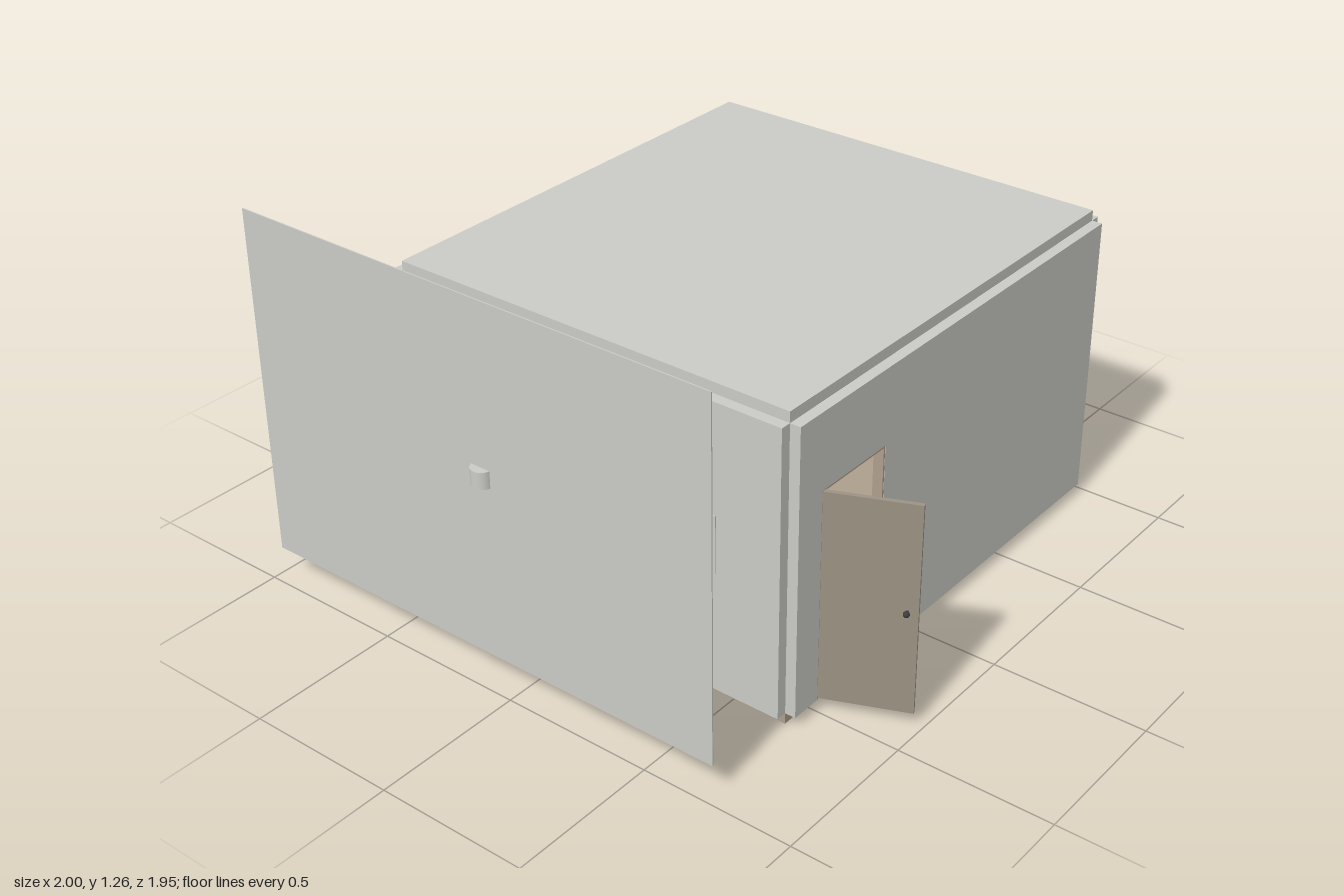
import * as THREE from 'three';

const mat = (name, color) => {
  const m = new THREE.MeshStandardMaterial({ color });
  m.name = name;
  return m;
};

export function createModel() {
  const model = new THREE.Group();
  model.name = 'roomWithSidePanel';
  const plaster = mat('plaster grey', 0xcbccc7);
  const tan = mat('floor tan', 0xae9f8c);
  const wood = mat('door wood', 0x9d9284);
  const white = mat('inner white', 0xfafafa);
  const dark = mat('dark metal', 0x3c3d3e);

  const add = (name, geo, material, parent = model) => {
    const mesh = new THREE.Mesh(geo, material);
    mesh.name = name;
    parent.add(mesh);
    return mesh;
  };
  // Box given by its minimum and maximum on each axis
  const box = (name, [x0, x1], [y0, y1], [z0, z1], material, parent) => {
    const mesh = add(name, new THREE.BoxGeometry(x1 - x0, y1 - y0, z1 - z0), material, parent);
    mesh.position.set((x0 + x1) / 2, (y0 + y1) / 2, (z0 + z1) / 2);
    return mesh;
  };

  // Shell: six slabs that meet only at their inner edges
  const X = [-0.6, 0.965], Y = [0.037, 0.985], Z = [-0.742, 0.683], T = 0.035;
  box('floor', X, [0, Y[0]], Z, tan);
  box('ceiling', X, [Y[1], Y[1] + T], Z, plaster);
  box('rightSideWall', [X[1], X[1] + T], Y, Z, plaster);
  box('backWall', X, Y, [Z[0] - T, Z[0]], plaster);
  box('backLining', X, Y, [Z[0], Z[0] + 0.006], white);

  // Front wall with the doorway notch
  const front = new THREE.Shape();
  [[X[0], Y[0]], [-0.495, Y[0]], [-0.495, 0.738], [-0.197, 0.738], [-0.197, Y[0]],
    [X[1], Y[0]], [X[1], Y[1]], [X[0], Y[1]]]
    .forEach(([x, y], i) => (i ? front.lineTo(x, y) : front.moveTo(x, y)));
  add('frontWall', new THREE.ExtrudeGeometry(front, { depth: T, bevelEnabled: false }), plaster)
    .position.z = Z[1];

  // Side wall with a low window
  const side = new THREE.Shape();
  side.moveTo(-Z[1], Y[0]);
  side.lineTo(-Z[0], Y[0]);
  side.lineTo(-Z[0], Y[1]);
  side.lineTo(-Z[1], Y[1]);
  side.closePath();
  add('leftSideWall', new THREE.ExtrudeGeometry(side, { depth: T, bevelEnabled: false }), plaster)
    .rotation.y = Math.PI / 2;
  model.getObjectByName('leftSideWall').position.x = X[0] - T;
  box('windowPlate', [X[0] - T - 0.004, X[0] - T], [0.48, 0.67], [-0.48, 0.2], dark);

  // Door casing
  for (const x of [-0.495, -0.203]) box('doorJamb', [x, x + 0.006], [Y[0], 0.738], [Z[1], 0.717], tan);
  box('doorHead', [-0.495, -0.197], [0.732, 0.738], [Z[1], 0.717], tan);

  // Open door leaf, hinged at the doorway
  const door = new THREE.Group();
  door.name = 'door';
  door.position.set(-0.487, 0, 0.715);
  door.rotation.y = -Math.atan2(0.255, 0.108);
  model.add(door);
  box('doorLeaf', [0, 0.277], [0.043, 0.735], [-0.007, 0.007], wood, door);
  const knob = add('doorKnob', new THREE.SphereGeometry(0.01, 16, 10), dark, door);
  knob.position.set(0.245, 0.388, 0.022);
  const stem = add('knobStem', new THREE.CylinderGeometry(0.004, 0.004, 0.016, 10), dark, door);
  stem.rotation.x = Math.PI / 2;
  stem.position.set(0.245, 0.388, 0.012);

  // Skirting and rail on the back wall
  box('skirting', X, [Y[0], 0.08], [-0.736, -0.725], tan);
  box('wallRail', X, [0.382, 0.397], [-0.736, -0.722], tan);

  // Table and tub inside
  box('tableTop', [-0.26, 0.25], [0.272, 0.286], [-0.62, -0.3], tan);
  for (const x of [-0.24, 0.215]) for (const z of [-0.6, -0.335])
    box('tableLeg', [x, x + 0.015], [Y[0], 0.272], [z, z + 0.015], tan);
  box('tableApron', [-0.235, 0.225], [0.25, 0.272], [-0.6, -0.32], tan);
  add('tub', new THREE.CylinderGeometry(0.05, 0.045, 0.19, 20), tan).position.set(-0.45, 0.132, 0.37);

  // Free-standing side panel with a strip across it
  box('sidePanel', [-0.972, -0.968], [0.105, 1.258], [-0.98, 0.717], plaster);
  box('panelStrip', [-0.957, -0.954], [0.717, 0.892], [-0.98, 0.717], plaster);
  add('panelLamp', new THREE.CylinderGeometry(0.035, 0.035, 0.055, 28), plaster)
    .position.set(-0.965, 0.708, -0.09);

  // Fittings on the inner face of the panel
  box('rearBoard', [-0.935, -0.931], [0.225, 0.6], [-0.62, -0.355], plaster);
  box('rearShelf', [-0.945, -0.927], [0.485, 0.51], [-0.585, -0.385], tan);
  box('middleBoard', [-0.947, -0.943], [0.225, 0.66], [-0.26, 0.06], tan);
  box('frontBoard', [-0.935, -0.931], [0.225, 0.59], [0.14, 0.375], plaster);
  box('frontHandle', [-0.931, -0.923], [0.405, 0.435], [0.2, 0.32], dark);
  box('crossUpright', [-0.964, -0.958], [0.52, 0.668], [-0.487, -0.473], dark);
  box('crossBar', [-0.964, -0.958], [0.63, 0.644], [-0.525, -0.437], dark);

  return model;
}
